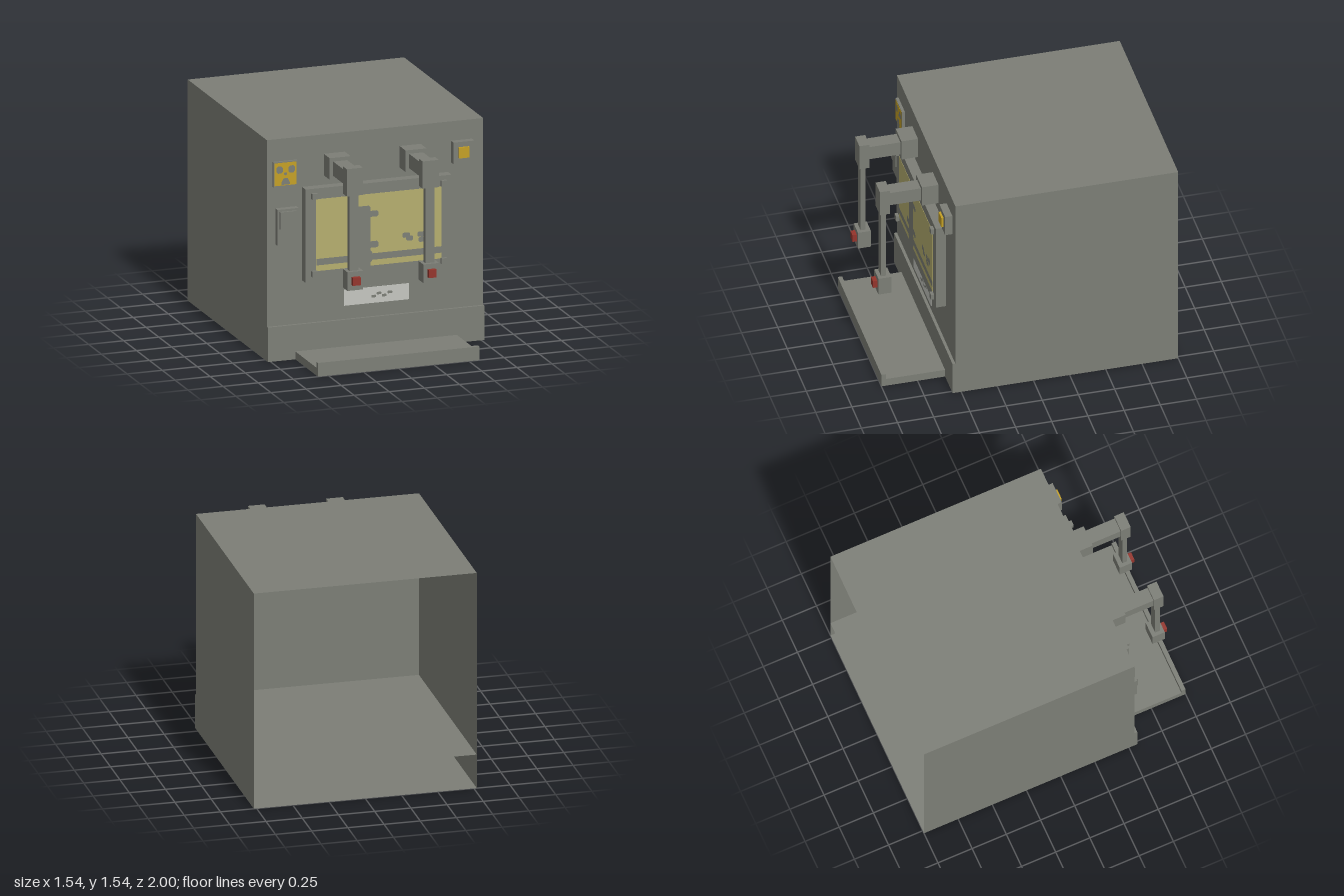
import * as THREE from 'three';

const mat = (name, color, side = THREE.FrontSide) => {
  const m = new THREE.MeshStandardMaterial({ color, side });
  m.name = name;
  return m;
};

export function createModel() {
  const root = new THREE.Group();
  root.name = 'wallMachine';
  const grey = mat('greyMetal', 0x7c7e76, THREE.DoubleSide);
  const glass = mat('paleYellowGlass', 0xb5ae6e);
  const yellow = mat('warningYellow', 0xc4a024);
  const red = mat('redTip', 0x94342b);
  const white = mat('labelWhite', 0xc4c6bf, THREE.DoubleSide);

  // Box given by its limits on each axis
  const box = (name, [x0, x1], [y0, y1], [z0, z1], m = grey, parent = root) => {
    const mesh = new THREE.Mesh(new THREE.BoxGeometry(x1 - x0, y1 - y0, z1 - z0), m);
    mesh.position.set((x0 + x1) / 2, (y0 + y1) / 2, (z0 + z1) / 2);
    mesh.name = name;
    parent.add(mesh);
    return mesh;
  };

  // Box shell with only the listed faces (0 +x, 1 -x, 2 +y, 3 -y, 4 +z, 5 -z)
  const shell = (name, x, y, z, faces) => {
    const mesh = box(name, x, y, z);
    const index = Array.from(mesh.geometry.index.array);
    mesh.geometry.setIndex(faces.flatMap(f => index.slice(f * 6, f * 6 + 6)));
    mesh.geometry.clearGroups();
  };

  // Flat painted shape facing the front
  const paint = (name, points, z, m = grey) => {
    const shape = new THREE.Shape(points.map(p => new THREE.Vector2(...p)));
    const mesh = new THREE.Mesh(new THREE.ShapeGeometry(shape), m);
    mesh.position.z = z;
    mesh.name = name;
    root.add(mesh);
  };
  // Small blob with clipped corners
  const blob = (name, x, y, w, h, z) => {
    const a = w / 2, b = h / 2, c = Math.min(a, b) * 0.5;
    paint(name, [[x - a, y - b + c], [x - a + c, y - b], [x + a - c, y - b], [x + a, y - b + c],
      [x + a, y + b - c], [x + a - c, y + b], [x - a + c, y + b], [x - a, y + b - c]], z);
  };

  // Housing, open at the back, with a floor between the two levels
  shell('upperHousing', [-0.77, 0.77], [0.24, 1.54], [-1, 0.54], [0, 1, 2, 4]);
  shell('lowerHousing', [-0.77, 0.77], [0, 0.24], [-1, 0.56], [0, 1, 2, 3, 4]);

  // Tray with a raised lip
  box('tray', [-0.575, 0.575], [0, 0.055], [0.56, 0.97]);
  box('trayLip', [-0.575, 0.575], [0, 0.095], [0.97, 1]);

  // Window with corner bolts
  box('windowFrame', [-0.52, 0.52], [0.54, 1.19], [0.54, 0.61]);
  box('windowGlass', [-0.445, 0.445], [0.615, 1.115], [0.608, 0.612], glass);
  for (const x of [-0.46, 0.46]) for (const y of [0.6, 1.14])
    box('bolt', [x - 0.02, x + 0.02], [y - 0.02, y + 0.02], [0.61, 0.633]);

  // Silhouette on the glass
  const half = [[0.055, 0.615], [0.055, 0.64], [0.068, 0.655], [0.068, 0.705], [0.055, 0.72], [0.055, 0.74],
    [0.1, 0.74], [0.112, 0.752], [0.112, 0.772], [0.1, 0.785], [0.055, 0.785], [0.055, 0.955],
    [0.1, 0.955], [0.112, 0.967], [0.112, 0.985], [0.1, 0.997], [0.055, 0.997], [0.055, 1.02], [0.04, 1.035]];
  const cx = -0.113;
  paint('silhouette', [...half.map(([x, y]) => [cx + x, y]),
    ...half.map(([x, y]) => [cx - x, y]).reverse()], 0.6145);
  paint('groundStripe', [[-0.445, 0.655], [0.445, 0.655], [0.445, 0.7], [-0.445, 0.7]], 0.6135);
  for (const [x, y, w] of [[0.195, 0.803, 0.055], [0.22, 0.78, 0.05], [0.31, 0.763, 0.055],
    [0.3, 0.8, 0.05], [0.357, 0.803, 0.055], [0.36, 0.82, 0.03]])
    blob('glassSpot', x, y, w, 0.035, 0.6135);

  // Two jointed arms hanging in front of the window
  for (const x of [-0.29, 0.25]) {
    const arm = new THREE.Group();
    arm.name = 'arm';
    root.add(arm);
    const part = (name, w, y, z, m) => box(name, [x - w / 2, x + w / 2], y, z, m, arm);
    part('armBracket', 0.15, [1.255, 1.405], [0.54, 0.655]);
    part('armBeam', 0.1, [1.28, 1.38], [0.655, 0.87]);
    part('armElbow', 0.115, [1.215, 1.405], [0.87, 0.94]);
    part('armRod', 0.065, [0.69, 1.215], [0.89, 0.925]);
    part('armHand', 0.112, [0.56, 0.69], [0.86, 0.95]);
    part('armTip', 0.055, [0.6, 0.655], [0.95, 0.98], red);
  }

  // Warning plate with three marks and a centre dot
  box('warningPlate', [-0.73, -0.56], [1.21, 1.385], [0.54, 0.56]);
  box('warningFace', [-0.722, -0.568], [1.22, 1.378], [0.558, 0.562], yellow);
  for (const s of [-1, 1]) blob('warningMark', -0.645 + s * 0.043, 1.33, 0.045, 0.05, 0.5635);
  paint('warningMark', [[-0.675, 1.225], [-0.615, 1.225], [-0.615, 1.24], [-0.63, 1.27],
    [-0.66, 1.27], [-0.675, 1.24]], 0.5635);
  blob('warningDot', -0.645, 1.3, 0.02, 0.02, 0.5635);

  // Side panel and push button
  box('sidePanel', [-0.71, -0.56], [0.81, 1.06], [0.54, 0.585]);
  box('sidePanelCover', [-0.695, -0.58], [0.925, 1.045], [0.585, 0.6]);
  box('buttonBase', [0.54, 0.69], [1.255, 1.405], [0.54, 0.59]);
  box('button', [0.575, 0.65], [1.295, 1.37], [0.59, 0.605], yellow);

  // Label held just off the wall
  box('labelPlate', [-0.23, 0.23], [0.33, 0.46], [0.562, 0.565]);
  box('labelFace', [-0.23, 0.23], [0.34, 0.452], [0.5645, 0.567], white);
  for (const [x, y] of [[-0.02, 0.387], [0.017, 0.405], [0.055, 0.387], [0.095, 0.405]])
    blob('labelMark', x, y, 0.034, 0.018, 0.5685);

  return root;
}
